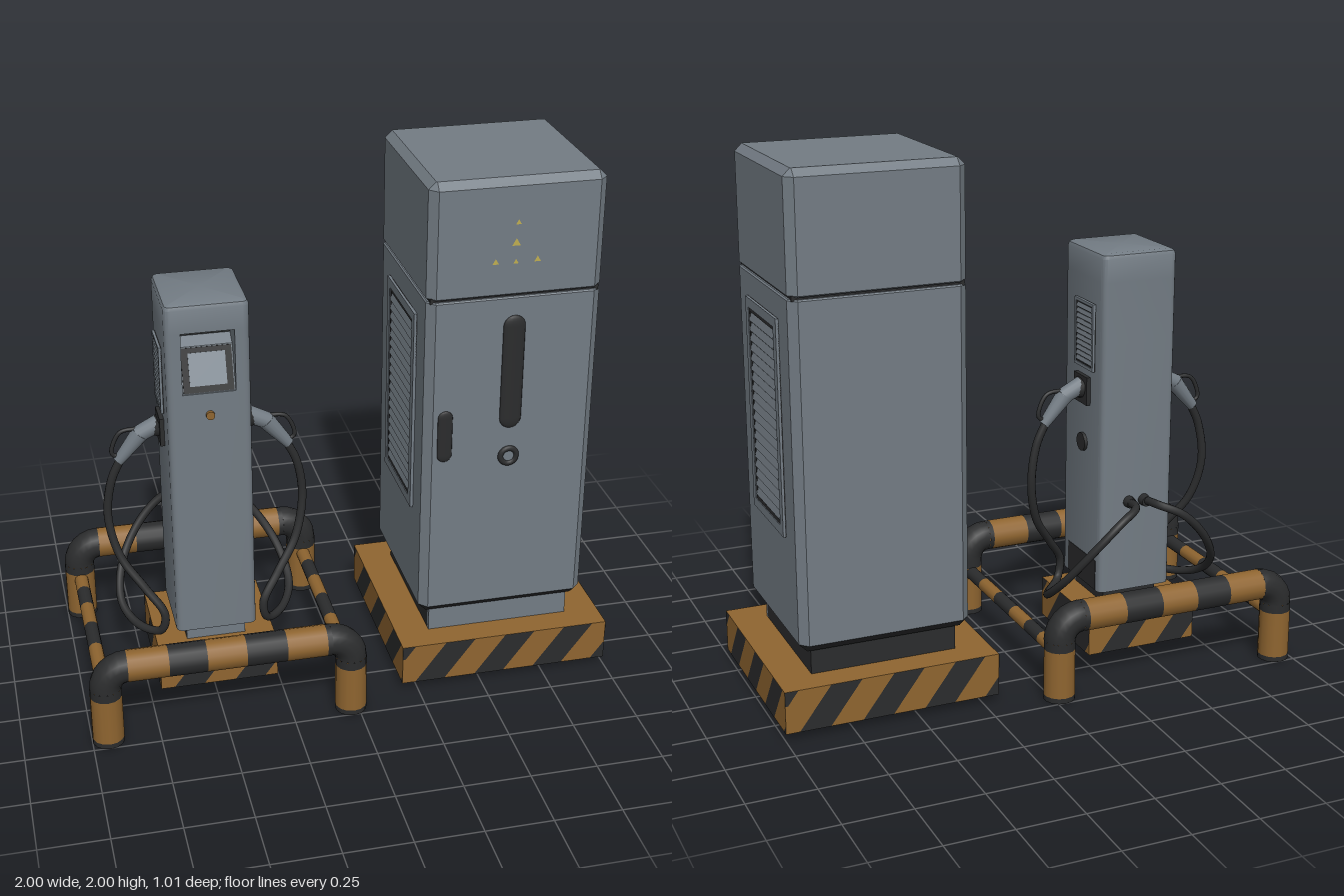
import * as THREE from 'three';
import { toCreasedNormals } from 'three/addons/utils/BufferGeometryUtils.js';

const V = (x, y, z) => new THREE.Vector3(x, y, z);
const paint = (name, color, side = THREE.FrontSide) => {
  const m = new THREE.MeshStandardMaterial({ color, side });
  m.name = name;
  return m;
};

// rounded rectangle outline in x and z; seg 1 gives a chamfer
function outline(w, d, r, seg) {
  const pts = [];
  [[1, 1], [-1, 1], [-1, -1], [1, -1]].forEach(([sx, sz], q) => {
    for (let i = 0; i <= seg; i++) {
      const a = (q + i / seg) * Math.PI / 2;
      pts.push([sx * (w / 2 - r) + r * Math.cos(a), sz * (d / 2 - r) + r * Math.sin(a)]);
    }
  });
  return pts;
}

// upright body from rings of [height, inset]
function loft(w, d, r, seg, rings) {
  const pos = [], idx = [], n = 4 * (seg + 1), last = (rings.length - 1) * n;
  for (const [y, inset] of rings)
    for (const [x, z] of outline(w - 2 * inset, d - 2 * inset, Math.max(r - inset, 0.003), seg)) pos.push(x, y, z);
  pos.push(0, rings[0][0], 0, 0, rings[rings.length - 1][0], 0);
  for (let j = 0; j < n; j++) {
    const k = (j + 1) % n;
    for (let o = 0; o < last; o += n) idx.push(o + j, o + j + n, o + k, o + k, o + j + n, o + k + n);
    idx.push(last + n, j, k, last + n + 1, last + k, last + j);
  }
  const g = new THREE.BufferGeometry();
  g.setAttribute('position', new THREE.Float32BufferAttribute(pos, 3));
  g.setIndex(idx);
  return toCreasedNormals(g, 0.5);
}

export function createModel() {
  const model = new THREE.Group();
  const grey = paint('metal grey', 0x737c84), light = paint('screen grey', 0x88929b);
  const orange = paint('warning orange', 0x8f6530, THREE.DoubleSide);
  const black = paint('black', 0x2b2c2d, THREE.DoubleSide);
  const yellow = paint('sign yellow', 0xc0ae50, THREE.DoubleSide);

  const add = (name, geo, mat, x = 0, y = 0, z = 0, parent = model) => {
    const m = new THREE.Mesh(geo, mat);
    m.name = name;
    m.position.set(x, y, z);
    parent.add(m);
    return m;
  };
  const box = (name, w, h, d, mat, x, y, z, parent) => add(name, new THREE.BoxGeometry(w, h, d), mat, x, y, z, parent);
  const rod = (name, a, b, r1, r2, mat, open = false, sides = 14) => {
    const m = add(name, new THREE.CylinderGeometry(r2, r1, a.distanceTo(b), sides, 1, open), mat);
    m.position.copy(a).add(b).multiplyScalar(0.5);
    m.quaternion.setFromUnitVectors(V(0, 1, 0), b.clone().sub(a).normalize());
    return m;
  };
  const tube = (name, pts, r, mat, n) =>
    add(name, new THREE.TubeGeometry(new THREE.CatmullRomCurve3(pts), n, r, 10), mat);

  // slanted stripes clipped to a rectangle of length L and height H
  function stripes(L, H) {
    const shapes = [], lean = 0.75 * H;
    for (let b = 0.05 - 0.235; b < L; b += 0.235) {
      const a = [], c = [];
      for (let i = 0; i <= 12; i++) {
        const cut = (x) => Math.min(Math.max(x + lean * i / 12, 0), L) - L / 2;
        if (cut(b + 0.115) - cut(b) < 0.002) continue;
        a.push(new THREE.Vector2(cut(b), H * i / 12 - H / 2));
        c.unshift(new THREE.Vector2(cut(b + 0.115), H * i / 12 - H / 2));
      }
      if (a.length > 1) shapes.push(new THREE.Shape([...a, ...c]));
    }
    return new THREE.ShapeGeometry(shapes);
  }

  // striped foundation slab
  function slab(name, x, w, d) {
    const g = new THREE.Group();
    g.name = name;
    g.position.set(x, 0.11, 0);
    model.add(g);
    box('slab', w, 0.16, d, orange, 0, 0, 0, g);
    for (let i = 0; i < 4; i++) {
      const [L, out] = i % 2 ? [d, w] : [w, d];
      const side = new THREE.Group();
      side.name = 'stripedSide';
      side.rotation.y = i * Math.PI / 2;
      g.add(side);
      add('sideStripes', stripes(L, 0.16), black, 0, 0, out / 2 + 0.001, side);
      add('undersideStripes', stripes(L - 0.16, 0.08), black, 0, -0.081, out / 2 - 0.04, side).rotation.x = Math.PI / 2;
    }
  }
  slab('cabinetSlab', 0.595, 0.81, 0.78);
  slab('dispenserSlab', -0.485, 0.45, 0.435);

  // framed louvre panel on a side wall, s is the outward x direction
  function vent(name, x, s, y, z, w, h, rim, count) {
    const g = new THREE.Group();
    g.name = name;
    g.position.set(x, y, z);
    model.add(g);
    box('ventBack', 0.004, h, w, black, s * 0.001, 0, 0, g);
    for (const e of [-1, 1]) {
      box('frameRail', 0.022, rim, w, grey, 0, e * (h - rim) / 2, 0, g);
      box('framePost', 0.022, h, rim, grey, 0, 0, e * (w - rim) / 2, g);
      box('innerRail', 0.016, rim * 0.4, w - 2 * rim, black, 0, e * (h / 2 - rim * 1.2), 0, g);
      box('innerPost', 0.016, h - 2 * rim, rim * 0.3, black, 0, 0, e * (w / 2 - rim * 1.15), g);
    }
    const step = (h - 2.8 * rim) / count;
    for (let i = 0; i < count; i++)
      box('slat', 0.003, step * 0.8, w - 2.4 * rim, grey, s * 0.006, (i + 0.5 - count / 2) * step, 0, g).rotation.z = s * 0.25;
  }

  // power cabinet
  const cx = 0.593;
  box('cabinetPlinth', 0.55, 0.1, 0.55, black, cx, 0.24, -0.005);
  box('plinthFront', 0.55, 0.1, 0.02, grey, cx, 0.24, 0.275);
  add('cabinetSkirt', loft(0.642, 0.644, 0.03, 1, [[0.285, 0.03], [0.316, 0]]), black, cx);
  add('cabinetBody', loft(0.642, 0.644, 0.03, 1, [[0.316, 0], [1.558, 0], [1.563, 0.005]]), grey, cx);
  box('cabinetSeam', 0.62, 0.02, 0.62, black, cx, 1.567, 0);
  add('cabinetTop', loft(0.642, 0.644, 0.03, 1, [[1.571, 0.005], [1.576, 0], [1.973, 0], [2, 0.027]]), grey, cx);
  for (const s of [-1, 1]) vent('cabinetVent', cx + s * 0.321, s, 1.078, 0.002, 0.375, 0.79, 0.035, 19);

  const capsule = (name, x, y, r, h) =>
    add(name, new THREE.CapsuleGeometry(r, h - 2 * r, 6, 14), black, x, y, 0.322).scale.z = 0.28;
  capsule('doorHandle', cx, 1.27, 0.041, 0.445);
  capsule('doorLatch', 0.348, 1.037, 0.028, 0.205);
  add('lockRing', new THREE.TorusGeometry(0.03, 0.011, 8, 20), black, cx, 0.932, 0.322);
  add('lockFace', new THREE.CircleGeometry(0.026, 18), grey, cx, 0.932, 0.325);
  // worn warning sign
  for (const [x, y, r] of [[0.59, 1.84, 0.012], [0.585, 1.765, 0.018], [0.512, 1.698, 0.014], [0.586, 1.695, 0.011], [0.665, 1.698, 0.014]])
    add('signMark', new THREE.CircleGeometry(r, 3), yellow, x, y, 0.3235).rotation.z = Math.PI / 2;

  // dispenser column with a notch for the screen
  const dx = -0.482, dz = 0.01, W = 0.304, D = 0.33;
  box('dispenserPlinth', 0.225, 0.07, 0.24, black, dx, 0.22, dz);
  box('dispenserPlinthFront', 0.225, 0.07, 0.01, grey, dx, 0.22, dz + 0.125);
  add('columnLower', loft(W, D, 0.025, 4, [[0.25, 0], [1.235, 0]]), grey, dx, 0, dz);
  add('columnTop', loft(W, D, 0.025, 4, [[1.472, 0], [1.56, 0], [1.573, 0.006], [1.58, 0.02]]), grey, dx, 0, dz);
  const notch = outline(W, D, 0.025, 4), nx = 0.096, nz = 0.065;
  notch.splice(5, 0, [nx, D / 2], [nx, nz], [-nx, nz], [-nx, D / 2]);
  const notched = new THREE.ExtrudeGeometry(new THREE.Shape(notch.map(([x, z]) => new THREE.Vector2(x, -z))),
    { depth: 0.237, bevelEnabled: false });
  add('columnNotch', toCreasedNormals(notched.rotateX(-Math.PI / 2), 0.5), grey, dx, 1.235, dz);

  // sloping console, frame and screen
  const wedge = new THREE.Shape([[0.07, 1.235], [0.168, 1.235], [0.115, 1.395], [0.07, 1.425]].map(([z, y]) => new THREE.Vector2(-z, y)));
  add('console', new THREE.ExtrudeGeometry(wedge, { depth: 2 * nx, bevelEnabled: false }).rotateY(Math.PI / 2), grey, dx - nx);
  const tilt = -Math.atan2(0.053, 0.16);
  box('screenFrame', 0.182, 0.162, 0.006, black, dx, 1.315, 0.1435).rotation.x = tilt;
  box('screen', 0.134, 0.12, 0.006, light, dx, 1.318, 0.1455).rotation.x = tilt;
  box('cardSlot', 0.19, 0.046, 0.006, black, dx, 1.448, 0.078);
  add('button', new THREE.CylinderGeometry(0.016, 0.016, 0.02, 14).rotateX(Math.PI / 2), orange, dx, 1.15, 0.178);
  add('sideLock', new THREE.CylinderGeometry(0.036, 0.036, 0.024, 16).rotateZ(Math.PI / 2), black, -0.33, 0.822, 0);
  box('kickPlate', 0.004, 0.12, 0.24, black, -0.33, 0.312, 0);

  // charging guns, hoses and vents, mirrored
  for (const s of [-1, 1]) {
    const P = (x, y, z = 0) => V(dx + s * x, y, z);
    vent('columnVent', dx + s * W / 2, s, 1.25, -0.01, 0.16, 0.26, 0.012, 11);
    box('gunSocket', 0.03, 0.11, 0.11, black, dx + s * 0.153, 1.035, 0);
    rod('gunCollar', P(0.16, 1.04), P(0.19, 1.03), 0.045, 0.03, black);
    rod('gunNose', P(0.165, 1.05), P(0.245, 1.01), 0.034, 0.032, grey);
    rod('gunGrip', P(0.235, 1.015), P(0.32, 0.91), 0.034, 0.021, grey);
    tube('gunGuard', [P(0.18, 1.03), P(0.25, 1.035), P(0.31, 1.025), P(0.343, 0.95), P(0.335, 0.935), P(0.3, 0.93)], 0.008, black, 30);
    tube('hose', [P(0.31, 0.92), P(0.35, 0.83), P(0.37, 0.68), P(0.335, 0.52, 0.03), P(0.255, 0.4, 0.08), P(0.19, 0.3, 0.12),
      P(0.205, 0.225, 0.11), P(0.28, 0.21, 0.03), P(0.33, 0.25, -0.08), P(0.31, 0.35, -0.2), P(0.23, 0.48, -0.275),
      P(0.13, 0.58, -0.29), P(0.05, 0.615, -0.25), P(0.032, 0.61, -0.15)], 0.016, black, 110);
    rod('hoseInlet', P(0.032, 0.61, -0.15), P(0.032, 0.61, -0.185), 0.024, 0.02, black);
  }

  // crash barrier hoops
  const xl = -0.94, xr = -0.027, R = 0.08, r = 0.059, top = 0.313, bend = top - R;
  for (const z of [-0.446, 0.446]) {
    const cuts = [xl + R, -0.71, -0.57, -0.425, -0.275, -0.125, xr - R];
    for (let i = 0; i < 6; i++)
      rod('hoopBar', V(cuts[i], top, z), V(cuts[i + 1], top, z), r, r, i % 2 || i === 5 ? black : orange, true);
    rod('hoopBarEnd', V(-0.275, top, z), V(-0.125, top, z), r + 0.0005, r + 0.0005, orange, true);
    for (const [x, s] of [[xl, -1], [xr, 1]]) {
      const elbow = add('hoopElbow', new THREE.TorusGeometry(R, r, 14, 6, Math.PI / 2), black, x - s * R, bend, z);
      if (s < 0) elbow.rotation.z = Math.PI / 2;
      rod('legTop', V(x, 0.2, z), V(x, bend, z), r, r, black, true);
      rod('leg', V(x, 0.02, z), V(x, 0.2, z), r, r, orange, true);
      rod('legFoot', V(x, 0, z), V(x, 0.02, z), r, r, black, true);
      add('legRim', new THREE.RingGeometry(0.046, r, 14), black, x, 0.0005, z).rotation.x = Math.PI / 2;
    }
  }
  // striped side rails joining the hoops
  const stops = [-0.42, -0.3, -0.18, -0.04, 0.11, 0.26, 0.42];
  for (const x of [xl, xr])
    for (let i = 0; i < 6; i++)
      rod('sideRail', V(x, 0.178, stops[i]), V(x, 0.178, stops[i + 1]), 0.027, 0.027, i % 2 ? black : orange, true, 12);

  return model;
}
